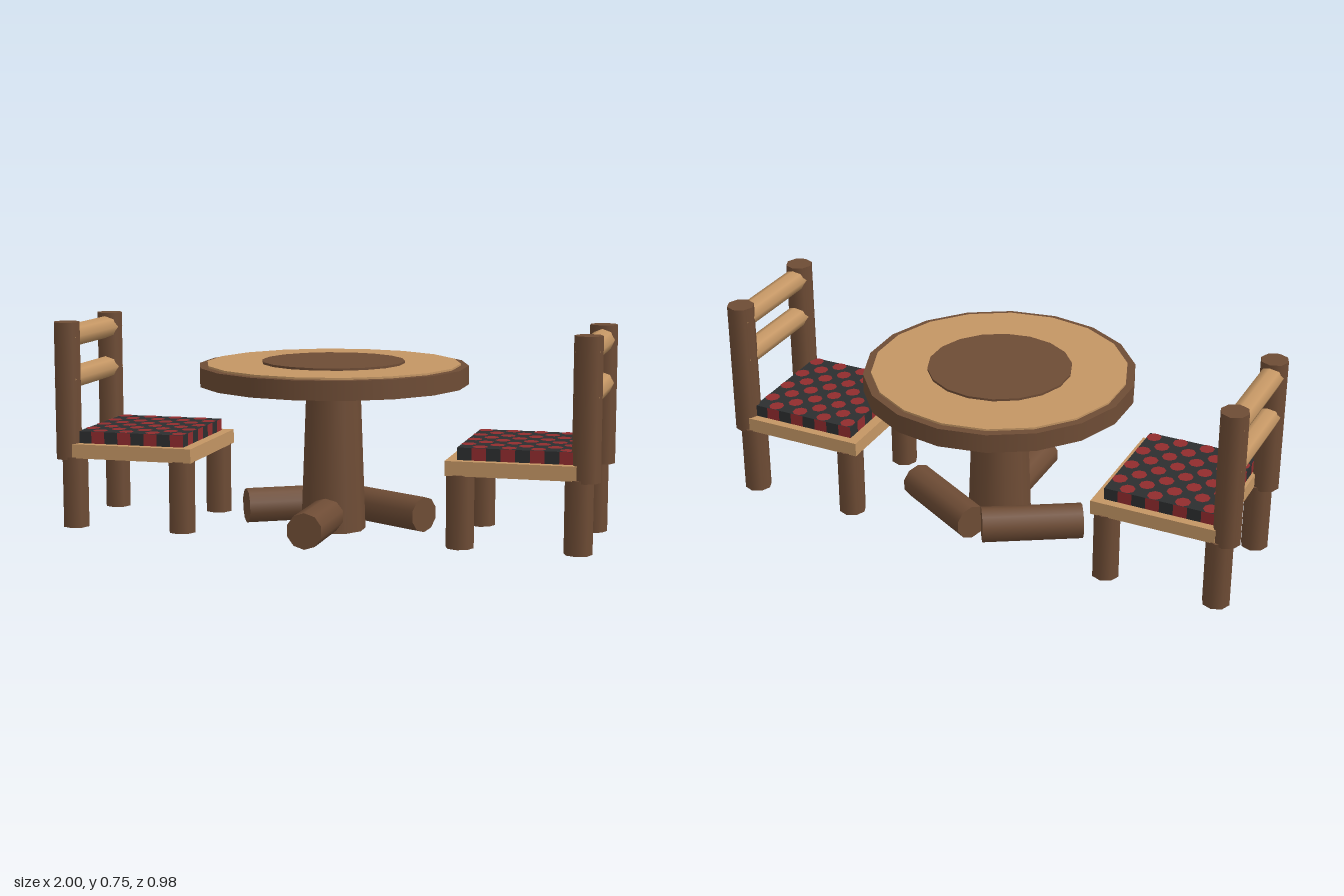
import * as THREE from 'three';
import { mergeGeometries } from 'three/addons/utils/BufferGeometryUtils.js';

const material = (name, color) => {
  const m = new THREE.MeshStandardMaterial({ color });
  m.name = name;
  return m;
};

export function createModel() {
  const darkWood = material('dark wood', 0x6e4c35);
  const lightWood = material('light wood', 0xc49664);
  const charcoal = material('charcoal cloth', 0x2d2f30);
  const red = material('red cloth', 0x922c2e);

  const add = (parent, name, geometry, mat, x = 0, y = 0, z = 0) => {
    const mesh = new THREE.Mesh(geometry, mat);
    mesh.name = name;
    mesh.position.set(x, y, z);
    parent.add(mesh);
    return mesh;
  };
  // Upright cylinder spanning y0 to y1
  const upright = (parent, name, mat, rTop, rBottom, y0, y1, sides, x = 0, z = 0) =>
    add(parent, name, new THREE.CylinderGeometry(rTop, rBottom, y1 - y0, sides), mat, x, (y0 + y1) / 2, z);
  // Cylinder lying along z
  const lying = (r, length, sides) => new THREE.CylinderGeometry(r, r, length, sides).rotateX(Math.PI / 2);

  const model = new THREE.Group();
  model.name = 'tableAndChairs';

  // Round table with stacked discs on a tapered trunk
  const table = new THREE.Group();
  table.name = 'table';
  model.add(table);
  upright(table, 'tableTop', darkWood, 0.49, 0.49, 0.537, 0.605, 18);
  upright(table, 'tableInlay', lightWood, 0.461, 0.461, 0.6, 0.612, 18);
  upright(table, 'tableCentre', darkWood, 0.26, 0.26, 0.605, 0.62, 18);
  upright(table, 'trunk', darkWood, 0.098, 0.118, 0, 0.54, 10);

  // Three foot logs, the rear two meeting in a V behind the trunk
  for (let i = 0; i < 3; i++) {
    const a = (i * Math.PI * 2) / 3;
    const log = add(table, 'footLog', lying(0.065, 0.368, 10), darkWood,
      Math.sin(a) * 0.206, 0.065, Math.cos(a) * 0.206);
    log.rotation.y = -a;
  }

  // Checked cushion: striped sides, cut-corner checks on top
  const makeCushion = (parent) => {
    const n = 8, w = 0.406, h = 0.045, d = 0.436, cx = 0.706, cy = 0.3325;
    const geometry = new THREE.BoxGeometry(w, h, d, n, 1, n);
    const faces = geometry.groups.slice();
    geometry.clearGroups();
    faces.forEach((face, f) => {
      const isSide = f < 2 || f > 3;
      if (!isSide) return geometry.addGroup(face.start, face.count, 0);
      for (let i = 0; i < n; i++) geometry.addGroup(face.start + i * 6, 6, i % 2);
    });
    add(parent, 'cushion', geometry, [charcoal, red], cx, cy, 0);

    const checks = [];
    for (let i = 0; i < n; i++) {
      for (let j = i % 2; j < n; j += 2) {
        checks.push(new THREE.CircleGeometry(0.54, 8, Math.PI / 8)
          .rotateX(-Math.PI / 2)
          .scale(w / n, 1, d / n)
          .translate(((i + 0.5) / n - 0.5) * w, 0, ((j + 0.5) / n - 0.5) * d));
      }
    }
    add(parent, 'cushionChecks', mergeGeometries(checks), red, cx, cy + h / 2 + 0.0015, 0);
  };

  // Log chair on the +x side, facing the table
  const makeChair = (name) => {
    const chair = new THREE.Group();
    chair.name = name;
    for (const z of [-0.207, 0.207]) {
      upright(chair, 'frontLeg', darkWood, 0.05, 0.05, 0, 0.262, 8, 0.513, z);
      upright(chair, 'rearLeg', darkWood, 0.05, 0.05, 0, 0.262, 8, 0.927, z);
      upright(chair, 'backPost', darkWood, 0.05, 0.05, 0.252, 0.755, 8, 0.95, z);
    }
    for (const y of [0.547, 0.701]) {
      add(chair, 'backRail', lying(0.042, 0.46, 8), lightWood, 0.95, y, 0);
    }
    add(chair, 'seat', new THREE.BoxGeometry(0.457, 0.052, 0.498), lightWood, 0.6935, 0.285, 0);
    makeCushion(chair);
    return chair;
  };

  const leftChair = makeChair('leftChair');
  const rightChair = makeChair('rightChair');
  rightChair.rotation.y = Math.PI;
  model.add(leftChair, rightChair);
  return model;
}
